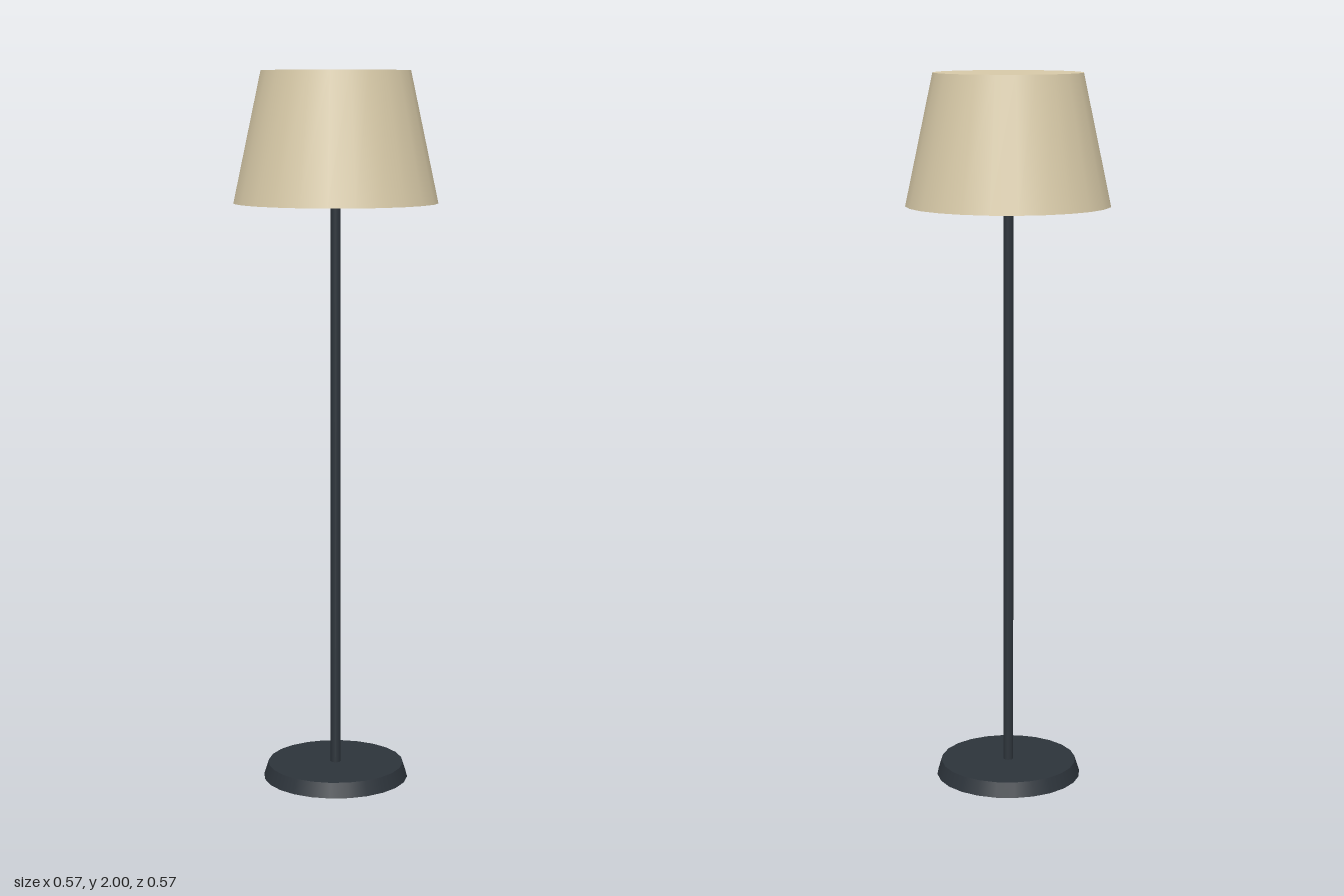
import * as THREE from 'three';

export function createModel() {
  const group = new THREE.Group();

  const darkMetal = new THREE.MeshStandardMaterial({ color: 0x2d343b });
  darkMetal.name = 'dark metal';
  const fabric = new THREE.MeshStandardMaterial({ color: 0xd8caa8 });
  fabric.name = 'beige fabric';

  // Adds a capped round part between two heights
  const addRound = (name, rTop, rBottom, y0, y1, sides, material) => {
    const mesh = new THREE.Mesh(new THREE.CylinderGeometry(rTop, rBottom, y1 - y0, sides), material);
    mesh.name = name;
    mesh.position.y = (y0 + y1) / 2;
    group.add(mesh);
  };

  // Foot, pole and closed tapered shade
  addRound('base', 0.193, 0.206, 0, 0.041, 24, darkMetal);
  addRound('pole', 0.0142, 0.0142, 0.04, 1.66, 12, darkMetal);
  addRound('shade', 0.206, 0.283, 1.64, 2, 24, fabric);

  return group;
}
